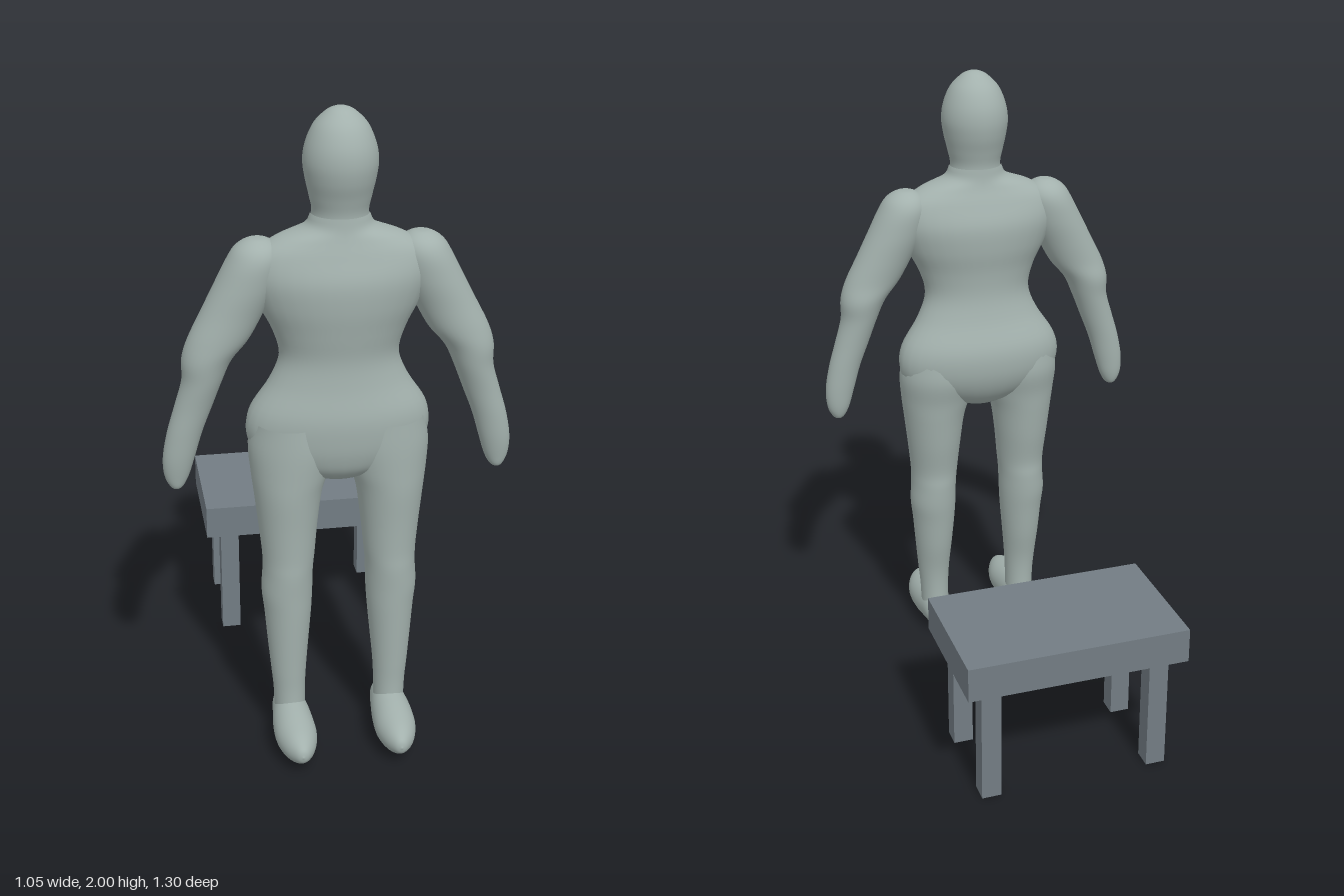
import * as THREE from 'three';

const skin = new THREE.MeshStandardMaterial({ color: 0xa3b1ad });
skin.name = 'pale grey green';
const slate = new THREE.MeshStandardMaterial({ color: 0x727c83 });
slate.name = 'slate grey';

// Smooth loft of elliptical rings; each section is [y, xMin, xMax, zMin, zMax], listed upwards
function loft(sections, side = 1, steps = 5, n = 32) {
  const line = (pick) => new THREE.CatmullRomCurve3(sections.map(pick), false, 'catmullrom', 0.5);
  const centres = line(([y, x0, x1, z0, z1]) => new THREE.Vector3(side * (x0 + x1) / 2, y, (z0 + z1) / 2));
  const radii = line(([, x0, x1, z0, z1]) => new THREE.Vector3((x1 - x0) / 2, (z1 - z0) / 2, 0));
  const rows = (sections.length - 1) * steps;
  const pos = [], index = [];
  for (let i = 0; i <= rows; i++) {
    const c = centres.getPoint(i / rows), r = radii.getPoint(i / rows);
    for (let j = 0; j < n; j++) {
      const a = (j / n) * Math.PI * 2;
      pos.push(c.x + Math.max(r.x, 0) * Math.cos(a), c.y, c.z + Math.max(r.y, 0) * Math.sin(a));
      if (i < rows) {
        const p = i * n + j, q = i * n + (j + 1) % n;
        index.push(p, p + n, q, q, p + n, q + n);
      }
    }
  }
  const g = new THREE.BufferGeometry();
  g.setAttribute('position', new THREE.Float32BufferAttribute(pos, 3));
  g.setIndex(index);
  g.computeVertexNormals();
  return g;
}

function add(parent, name, geometry, material) {
  const mesh = new THREE.Mesh(geometry, material);
  mesh.name = name;
  parent.add(mesh);
  return mesh;
}

// Sections that are symmetric about x = 0
const centred = (list) => list.map(([y, r, z0, z1]) => [y, -r, r, z0, z1]);

const TORSO = centred([
  [0.885, 0, 0.35, 0.35], [0.892, 0.07, 0.30, 0.42], [0.93, 0.18, 0.255, 0.465],
  [0.98, 0.25, 0.225, 0.485], [1.04, 0.274, 0.21, 0.494], [1.11, 0.262, 0.212, 0.495],
  [1.20, 0.205, 0.242, 0.48], [1.28, 0.176, 0.258, 0.475], [1.36, 0.195, 0.255, 0.487],
  [1.44, 0.235, 0.242, 0.499], [1.52, 0.262, 0.24, 0.50], [1.59, 0.25, 0.262, 0.48],
  [1.635, 0.185, 0.28, 0.465], [1.665, 0.105, 0.288, 0.457], [1.70, 0.083, 0.292, 0.452],
]);
const HEAD = centred([
  [1.64, 0.10, 0.287, 0.457], [1.70, 0.081, 0.294, 0.452], [1.75, 0.089, 0.284, 0.463],
  [1.80, 0.100, 0.270, 0.479], [1.85, 0.106, 0.264, 0.486], [1.90, 0.098, 0.271, 0.479],
  [1.95, 0.076, 0.295, 0.455], [1.985, 0.042, 0.332, 0.418], [1.997, 0.018, 0.357, 0.393],
  [2.00, 0, 0.375, 0.375],
]);
const ARM = [
  [0.88, 0.487, 0.487, 0.37, 0.37], [0.885, 0.467, 0.502, 0.35, 0.392], [0.92, 0.447, 0.519, 0.338, 0.402],
  [0.98, 0.428, 0.522, 0.332, 0.412], [1.06, 0.404, 0.507, 0.327, 0.419], [1.14, 0.373, 0.483, 0.32, 0.426],
  [1.22, 0.342, 0.460, 0.31, 0.438], [1.285, 0.312, 0.458, 0.30, 0.446], [1.345, 0.262, 0.440, 0.302, 0.448],
  [1.42, 0.22, 0.402, 0.296, 0.448], [1.50, 0.18, 0.361, 0.288, 0.452], [1.57, 0.165, 0.325, 0.288, 0.450],
  [1.61, 0.175, 0.299, 0.305, 0.433], [1.632, 0.205, 0.265, 0.338, 0.40], [1.636, 0.235, 0.235, 0.37, 0.37],
];
const LEG = [
  [0.07, 0.11, 0.205, 0.345, 0.46], [0.17, 0.11, 0.208, 0.348, 0.456], [0.25, 0.106, 0.215, 0.342, 0.459],
  [0.35, 0.097, 0.224, 0.322, 0.464], [0.45, 0.088, 0.232, 0.308, 0.469], [0.52, 0.084, 0.239, 0.298, 0.472],
  [0.59, 0.082, 0.235, 0.294, 0.475], [0.65, 0.076, 0.236, 0.294, 0.474], [0.75, 0.066, 0.246, 0.276, 0.478],
  [0.85, 0.052, 0.257, 0.262, 0.485], [0.92, 0.03, 0.265, 0.252, 0.487], [1.00, 0.012, 0.270, 0.235, 0.488],
  [1.08, 0.03, 0.255, 0.24, 0.485],
];
// Foot sections run from heel to toe; the last two numbers are minus top and minus sole
const FOOT = [
  [0.312, 0.16, 0.16, -0.085, -0.085], [0.318, 0.132, 0.186, -0.11, -0.055], [0.345, 0.112, 0.204, -0.135, -0.028],
  [0.40, 0.102, 0.212, -0.148, -0.016], [0.47, 0.094, 0.22, -0.143, -0.01], [0.54, 0.093, 0.218, -0.133, -0.012],
  [0.60, 0.108, 0.2, -0.12, -0.025], [0.64, 0.131, 0.173, -0.1, -0.05], [0.651, 0.152, 0.152, -0.075, -0.075],
];

export function createModel() {
  const model = new THREE.Group();

  // Standing figure
  const figure = new THREE.Group();
  figure.name = 'figure';
  model.add(figure);
  add(figure, 'torso', loft(TORSO), skin);
  add(figure, 'head', loft(HEAD), skin);
  for (const [label, side] of [['left', 1], ['right', -1]]) {
    add(figure, label + 'Arm', loft(ARM, side), skin);
    add(figure, label + 'Leg', loft(LEG, side), skin);
    add(figure, label + 'Foot', loft(FOOT, side).rotateX(Math.PI / 2), skin);
  }

  // Low table behind the figure
  const table = new THREE.Group();
  table.name = 'table';
  table.position.z = -0.437;
  model.add(table);
  add(table, 'tableTop', new THREE.BoxGeometry(0.7, 0.11, 0.43), slate).position.y = 0.435;
  for (const x of [-1, 1]) {
    for (const z of [-1, 1]) {
      add(table, 'tableLeg', new THREE.BoxGeometry(0.062, 0.38, 0.062), slate)
        .position.set(x * 0.269, 0.19, z * 0.149);
    }
  }
  return model;
}
